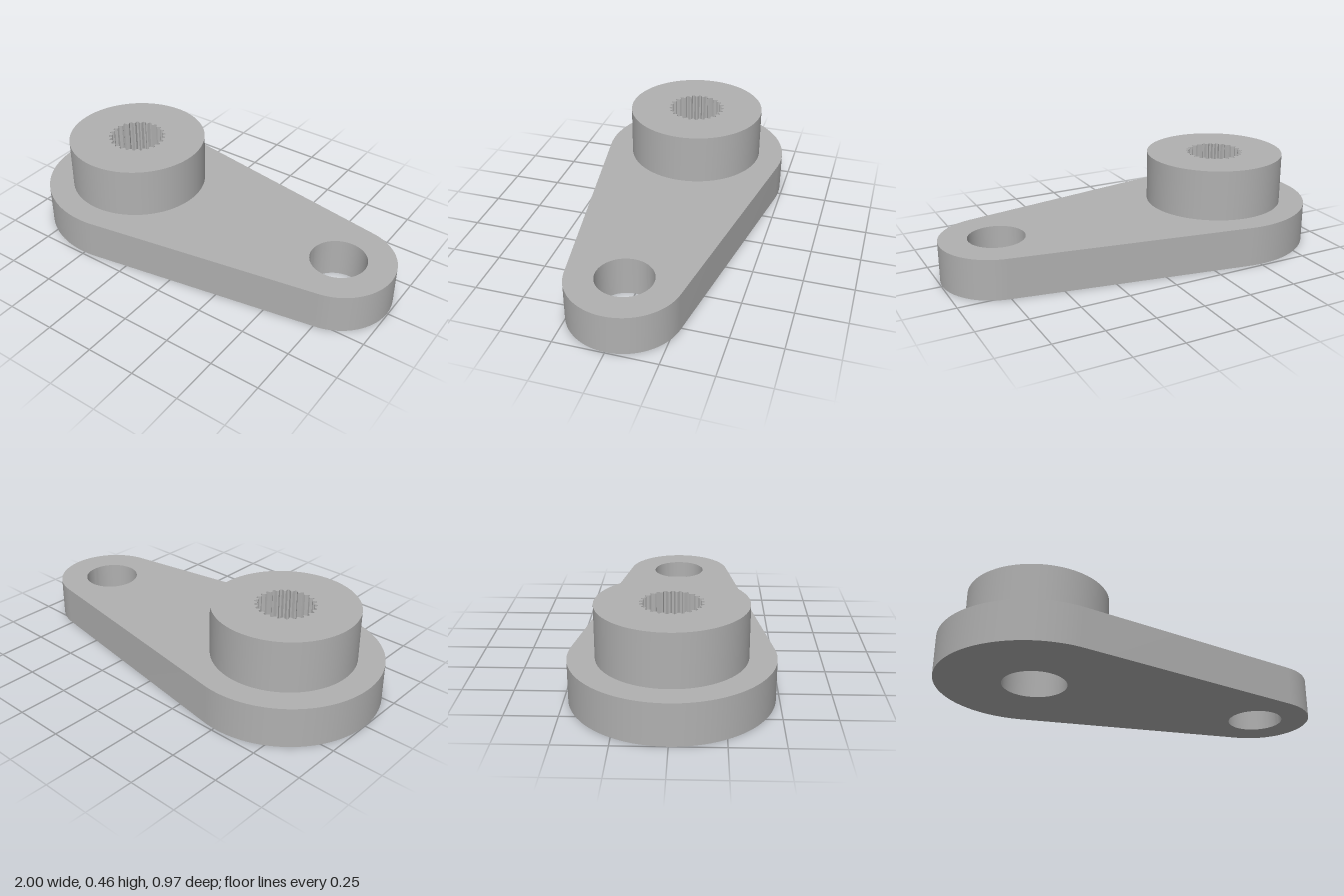
import * as THREE from 'three';
import { toCreasedNormals } from 'three/addons/utils/BufferGeometryUtils.js';

// Main dimensions: hub at the wide end, pivot hole at the narrow end
const HUB = -0.515, PIVOT = 0.715;
const HUB_R = 0.485, TIP_R = 0.28, BOSS_R = 0.356;
const ARM_TOP = 0.203, BOSS_TOP = 0.462;
const RECESS_TOP = 0.175, SPLINE_FLOOR = 0.25;

// Points along an arc in plan, counter-clockwise
function arc(cx, radius, from, to, steps) {
  return Array.from({ length: steps + 1 }, (_, i) => {
    const a = from + ((to - from) * i) / steps;
    return new THREE.Vector2(cx + radius * Math.cos(a), radius * Math.sin(a));
  });
}

const circle = (cx, radius) => arc(cx, radius, 0, Math.PI * 2, 96).slice(0, -1);

// Ring of rounded teeth
function splineRing(cx, teeth, inner, outer) {
  const count = teeth * 8;
  return Array.from({ length: count }, (_, i) => {
    const a = (i / count) * Math.PI * 2;
    const wave = THREE.MathUtils.clamp(0.5 + 0.7 * Math.cos(a * teeth), 0, 1);
    const r = inner + (outer - inner) * wave;
    return new THREE.Vector2(cx + r * Math.cos(a), r * Math.sin(a));
  });
}

// Upright wall along a closed outline; holes face inwards
function wall(outline, y0, y1, isHole = false) {
  const pts = isHole ? [...outline].reverse() : outline;
  const pos = [];
  pts.forEach((a, i) => {
    const b = pts[(i + 1) % pts.length];
    pos.push(a.x, y0, -a.y, b.x, y0, -b.y, b.x, y1, -b.y);
    pos.push(a.x, y0, -a.y, b.x, y1, -b.y, a.x, y1, -a.y);
  });
  const geo = new THREE.BufferGeometry();
  geo.setAttribute('position', new THREE.Float32BufferAttribute(pos, 3));
  geo.computeVertexNormals();
  return toCreasedNormals(geo, Math.PI / 6);
}

// Flat face with holes, looking up or down
function face(outline, holes, y, up = true) {
  const flip = (pts) => pts.map((p) => new THREE.Vector2(p.x, up ? p.y : -p.y));
  const shape = new THREE.Shape(flip(outline));
  shape.holes = holes.map((h) => new THREE.Path(flip(h)));
  return new THREE.ShapeGeometry(shape).rotateX(up ? -Math.PI / 2 : Math.PI / 2).translate(0, y, 0);
}

export function createModel() {
  const model = new THREE.Group();
  model.name = 'servoArm';
  const grey = new THREE.MeshStandardMaterial({ color: 0xb0b0b0 });
  grey.name = 'grey';

  function part(name, geometries) {
    const group = new THREE.Group();
    group.name = name;
    for (const [label, geo] of Object.entries(geometries)) {
      const mesh = new THREE.Mesh(geo, grey);
      mesh.name = label;
      group.add(mesh);
    }
    model.add(group);
  }

  // Outlines in plan; straight sides are tangent to both end arcs
  const t = Math.acos((HUB_R - TIP_R) / (PIVOT - HUB));
  const arm = [
    ...arc(PIVOT, TIP_R, -t, t, 48),
    ...arc(HUB, HUB_R, t, Math.PI * 2 - t, 64),
  ];
  const boss = circle(HUB, BOSS_R);
  const spline = splineRing(HUB, 25, 0.134, 0.149);
  const bore = circle(HUB, 0.09);
  const recess = circle(HUB, 0.16);
  const pivot = circle(PIVOT, 0.14);

  // Tapered arm with pivot hole
  part('arm', {
    armSide: wall(arm, 0, ARM_TOP),
    armTop: face(arm, [boss, pivot], ARM_TOP),
    armBottom: face(arm, [recess, pivot], 0, false),
    pivotHole: wall(pivot, 0, ARM_TOP, true),
  });

  // Raised boss with toothed socket
  part('boss', {
    bossSide: wall(boss, ARM_TOP, BOSS_TOP),
    bossTop: face(boss, [spline], BOSS_TOP),
    splineTeeth: wall(spline, SPLINE_FLOOR, BOSS_TOP, true),
    socketFloor: face(spline, [bore], SPLINE_FLOOR),
  });

  // Screw bore and the recess beneath it
  part('screwHole', {
    boreWall: wall(bore, RECESS_TOP, SPLINE_FLOOR, true),
    recessCeiling: face(recess, [bore], RECESS_TOP, false),
    recessWall: wall(recess, 0, RECESS_TOP, true),
  });

  return model;
}
